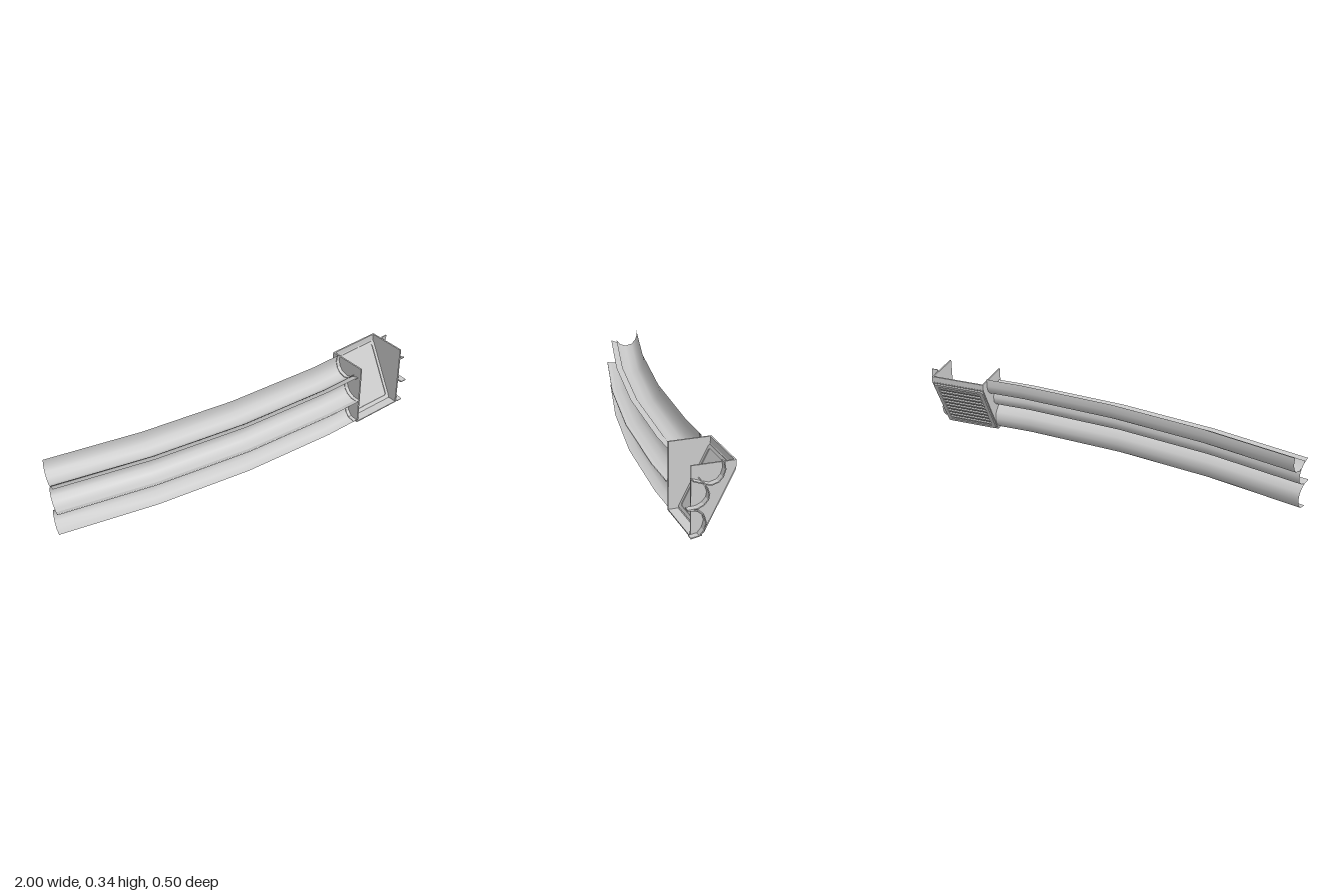
import * as THREE from 'three';

const mat = new THREE.MeshStandardMaterial({ color: 0xcccccc, side: THREE.DoubleSide });

// Channel cross-sections as [forward offset, height]
const sections = {
  lowerChannel: [[-0.015, 0.008], [-0.055, 0.015], [-0.077, 0.04], [-0.087, 0.075], [-0.077, 0.11], [-0.045, 0.137], [0, 0.146]],
  middleChannel: [[0, 0.141], [-0.045, 0.143], [-0.075, 0.157], [-0.095, 0.18], [-0.1, 0.207], [-0.09, 0.237], [-0.066, 0.261], [-0.025, 0.276]],
  upperChannel: [[-0.055, 0.275], [-0.075, 0.252], [-0.105, 0.243], [-0.14, 0.253], [-0.16, 0.275], [-0.171, 0.308], [-0.166, 0.343]],
};

// Front edge of the rail run as [x, z]
const path = [[-1, 0.25], [-0.5, 0.235], [0, 0.18], [0.5, 0.08], [0.687, 0.028]];
const turn = 0.27;

function add(parent, name, geometry, x = 0, y = 0, z = 0) {
  const mesh = new THREE.Mesh(geometry, mat);
  mesh.name = name;
  mesh.position.set(x, y, z);
  parent.add(mesh);
  return mesh;
}

// Sweeps a cross-section along the path; angle[i] is the heading at each station
function sweep(section) {
  const angles = [0, 0.07, 0.16, 0.24, turn];
  const n = section.length, pos = [], index = [];
  path.forEach(([x, z], i) => {
    for (const [d, y] of section) {
      pos.push(x + d * Math.sin(angles[i]), y, z + d * Math.cos(angles[i]));
    }
    if (i === 0) return;
    for (let j = 0; j < n - 1; j++) {
      const a = (i - 1) * n + j, b = a + n;
      index.push(a, a + 1, b, b, a + 1, b + 1);
    }
  });
  const g = new THREE.BufferGeometry();
  g.setAttribute('position', new THREE.Float32BufferAttribute(pos, 3));
  g.setIndex(index);
  g.computeVertexNormals();
  return g;
}

// Extrudes a [forward, height] outline along x, from x = 0 towards -x
function extrudeSide(points, depth) {
  const shape = new THREE.Shape(points.map(([d, y]) => new THREE.Vector2(d, y)));
  return new THREE.ExtrudeGeometry(shape, { depth, bevelEnabled: false }).rotateY(-Math.PI / 2);
}

// Thickens an open section into a closed band
function band(section, t) {
  const offset = section.map(([d, y], i) => {
    const p = section[Math.max(i - 1, 0)], q = section[Math.min(i + 1, section.length - 1)];
    const dx = q[0] - p[0], dy = q[1] - p[1], l = Math.hypot(dx, dy);
    return [d - (dy / l) * t, y + (dx / l) * t];
  });
  return [...section, ...offset.reverse()];
}

function roundedRect(Path, w, h, r) {
  const s = new Path(), x = w / 2, y = h / 2;
  s.moveTo(-x + r, -y);
  s.lineTo(x - r, -y).quadraticCurveTo(x, -y, x, -y + r);
  s.lineTo(x, y - r).quadraticCurveTo(x, y, x - r, y);
  s.lineTo(-x + r, y).quadraticCurveTo(-x, y, -x, y - r);
  s.lineTo(-x, -y + r).quadraticCurveTo(-x, -y, -x + r, -y);
  return s;
}

function frame(w, h, border, depth) {
  const s = roundedRect(THREE.Shape, w, h, 0.012);
  s.holes.push(roundedRect(THREE.Path, w - 2 * border, h - 2 * border, 0.012));
  return new THREE.ExtrudeGeometry(s, { depth, bevelEnabled: false, curveSegments: 4 });
}

export function createModel() {
  const model = new THREE.Group();

  // Long curved half-round channels
  for (const [name, section] of Object.entries(sections)) add(model, name, sweep(section));

  // Open-fronted housing at the end of the channels
  const width = 0.29;
  const housing = new THREE.Group();
  housing.name = 'endHousing';
  housing.position.set(0.685, 0, 0.02);
  housing.rotation.y = turn;
  model.add(housing);

  const cheek = [[0, 0], [-0.05, 0], [-0.205, 0.302], [-0.205, 0.333], [0, 0.333]];
  add(housing, 'rightCheek', extrudeSide(cheek, 0.008), 0.008);
  add(housing, 'leftCheek', extrudeSide(cheek, 0.008), width);
  add(housing, 'floor', new THREE.BoxGeometry(width, 0.006, 0.052), width / 2, 0.003, -0.026);
  add(housing, 'topRail', new THREE.BoxGeometry(width, 0.03, 0.008), width / 2, 0.318, -0.201);

  // Sloping back panel with rims and a ribbed outer face
  const back = new THREE.Group();
  back.name = 'backPanel';
  back.position.set(width / 2, 0.153, -0.1255);
  back.rotation.x = -0.474;
  housing.add(back);
  add(back, 'panelSheet', new THREE.BoxGeometry(width - 0.004, 0.338, 0.006));
  add(back, 'innerRim', frame(width - 0.018, 0.32, 0.016, 0.004), 0, 0, 0.003);
  add(back, 'outerRim', frame(width - 0.014, 0.32, 0.02, 0.008), 0, 0, -0.011);
  for (let i = 0; i < 10; i++) {
    add(back, 'backRib', new THREE.BoxGeometry(width - 0.05, 0.012, 0.008), 0, -0.126 + i * 0.028, -0.007);
  }

  // Short collars where the channels meet the cheeks
  for (const [name, section] of Object.entries(sections)) {
    add(housing, name + 'OuterCollar', extrudeSide(band(section, -0.005), 0.032), width + 0.03, 0, 0.024);
    add(housing, name + 'InnerCollar', extrudeSide(band(section, -0.003), 0.02), 0.001, 0, 0.009);
  }
  return model;
}
